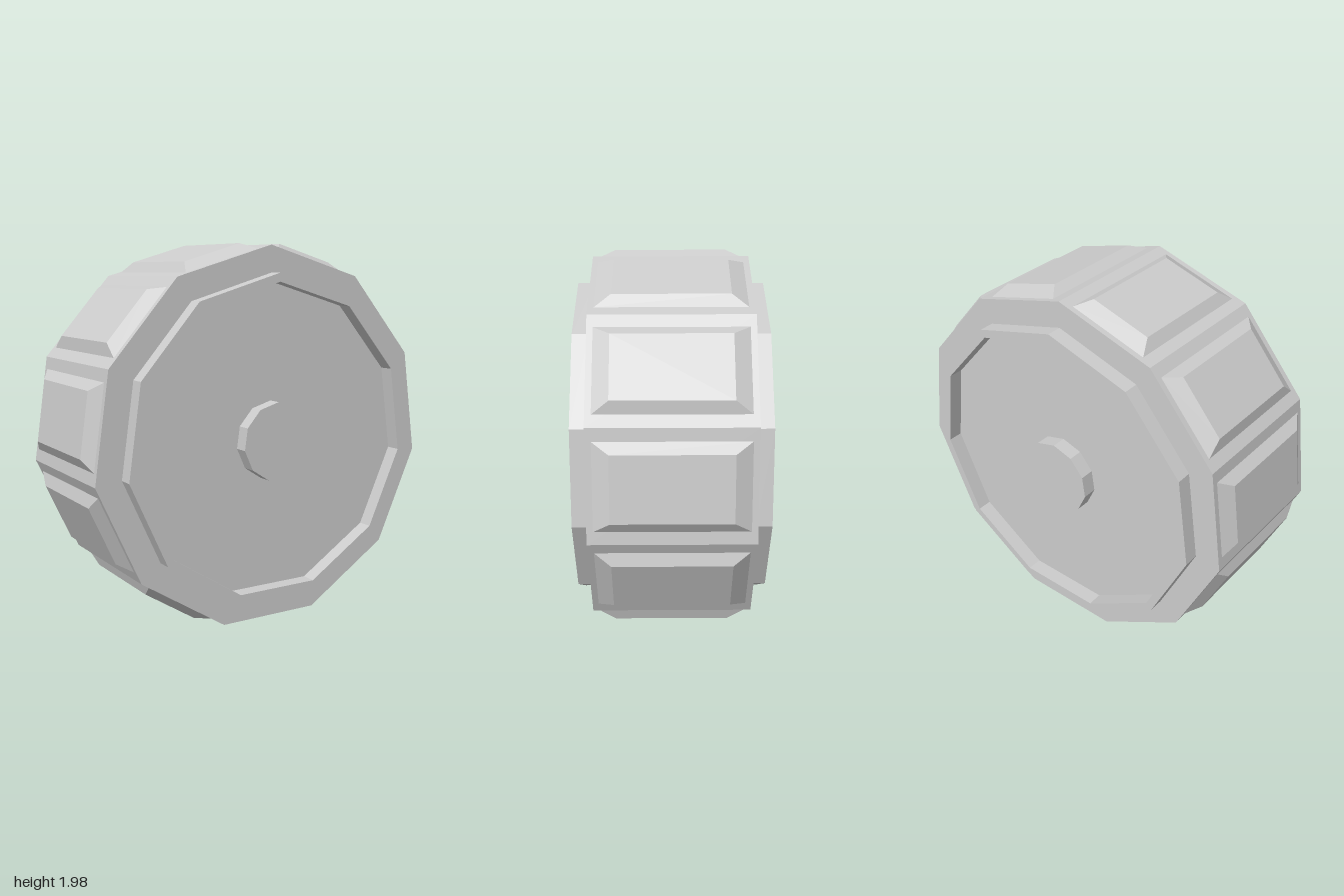
import * as THREE from 'three';

const SIDES = 11, CENTER_Y = 0.987;
const BODY_R = 0.985, BODY_HALF = 0.395, FACE_Z = 0.475;
const APOTHEM = BODY_R * Math.cos(Math.PI / SIDES);
const TREAD_TOP = 0.987;

const material = new THREE.MeshStandardMaterial({ color: 0xcccccc, flatShading: true });

function part(name, geometry, parent) {
  const mesh = new THREE.Mesh(geometry, material);
  mesh.name = name;
  parent.add(mesh);
  return mesh;
}

// Polygonal solid turned about the z axis, with one corner pointing up.
// Profile points are [radius, z], listed with the surface facing outwards.
function turned(profile) {
  const points = profile.map(([r, z]) => new THREE.Vector2(r, z));
  return new THREE.LatheGeometry(points, SIDES, Math.PI).rotateX(Math.PI / 2).toNonIndexed();
}

// Block whose outer face is smaller than its base, base resting on y = 0
function treadGeometry() {
  const height = TREAD_TOP - APOTHEM;
  const geometry = new THREE.BoxGeometry(0.428, height, 0.73).translate(0, height / 2, 0);
  const p = geometry.attributes.position;
  for (let i = 0; i < p.count; i++) {
    if (p.getY(i) > height / 2) {
      p.setX(i, Math.sign(p.getX(i)) * 0.163);
      p.setZ(i, Math.sign(p.getZ(i)) * 0.285);
    }
  }
  geometry.computeVertexNormals();
  return geometry;
}

export function createModel() {
  const wheel = new THREE.Group();
  wheel.name = 'wheel';
  const centred = new THREE.Group();
  centred.name = 'wheelAssembly';
  centred.position.y = CENTER_Y;
  wheel.add(centred);

  // Main body
  part('tyreBody', turned([
    [0, -BODY_HALF], [BODY_R, -BODY_HALF], [BODY_R, BODY_HALF], [0, BODY_HALF],
  ]), centred);

  // One tread block on each flat of the body
  const treads = new THREE.Group();
  treads.name = 'treads';
  centred.add(treads);
  const block = treadGeometry();
  for (let i = 0; i < SIDES; i++) {
    const angle = ((i + 0.5) / SIDES) * Math.PI * 2;
    const tread = part('treadBlock', block, treads);
    tread.position.set(Math.sin(angle) * APOTHEM, Math.cos(angle) * APOTHEM, 0);
    tread.rotation.z = -angle;
  }

  // Raised rim and hub cap on both faces
  const rim = turned([
    [0.847, BODY_HALF], [0.847, FACE_Z], [0.803, FACE_Z], [0.803, BODY_HALF],
  ]);
  const hub = turned([[0.203, BODY_HALF], [0.203, FACE_Z - 0.005], [0, FACE_Z - 0.005]]);
  for (const [name, turn] of [['frontFace', 0], ['backFace', Math.PI]]) {
    const face = new THREE.Group();
    face.name = name;
    face.rotation.y = turn;
    part('rim', rim, face);
    part('hubCap', hub, face);
    centred.add(face);
  }

  return wheel;
}
